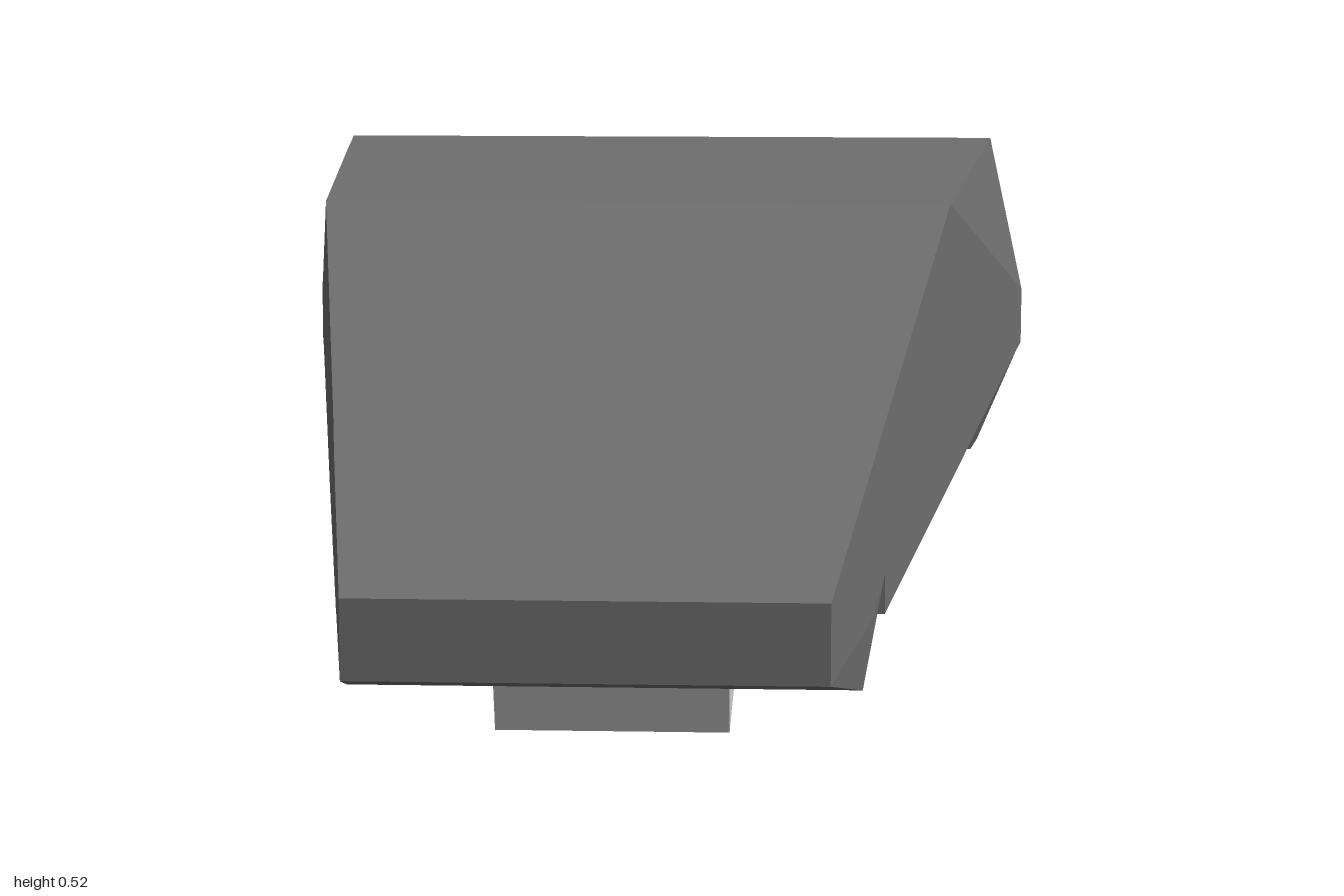
import * as THREE from 'three';

const bodyMaterial = new THREE.MeshStandardMaterial({ color: 0x6e6e6e, flatShading: true });
const barMaterial = new THREE.MeshStandardMaterial({ color: 0xcccccc, flatShading: true });

// Lofts mirrored half profiles, ordered front to back, into a closed flat-sided solid.
function loft(sections) {
  const rings = sections.map(([z, ...half]) => [
    ...half.map(([x, y]) => new THREE.Vector3(x, y, z)),
    ...half.slice().reverse().map(([x, y]) => new THREE.Vector3(-x, y, z)),
  ]);
  const positions = [];
  const tri = (a, b, c) => {
    if (new THREE.Triangle(a, b, c).getArea() < 1e-6) return;
    for (const p of [a, b, c]) positions.push(p.x, p.y, p.z);
  };
  const n = rings[0].length;
  for (let i = 0; i < rings.length - 1; i++) {
    for (let j = 0; j < n; j++) {
      const k = (j + 1) % n;
      tri(rings[i][j], rings[i][k], rings[i + 1][k]);
      tri(rings[i][j], rings[i + 1][k], rings[i + 1][j]);
    }
  }
  const first = rings[0], last = rings[rings.length - 1];
  for (let j = 1; j < n - 1; j++) {
    tri(first[0], first[j + 1], first[j]);
    tri(last[0], last[j], last[j + 1]);
  }
  const geometry = new THREE.BufferGeometry();
  geometry.setAttribute('position', new THREE.Float32BufferAttribute(positions, 3));
  geometry.computeVertexNormals();
  return geometry;
}

function addMesh(group, name, geometry, material) {
  const mesh = new THREE.Mesh(geometry, material);
  mesh.name = name;
  group.add(mesh);
  return mesh;
}

export function createModel() {
  const group = new THREE.Group();
  group.name = 'wedgeHousing';

  // Tapered housing: each section is z, then top, shoulder, waist and base corners
  addMesh(group, 'housing', loft([
    [1, [0.235, 0.243], [0.235, 0.243], [0.235, 0.162], [0.235, 0.162]],
    [0.69, [0.28, 0.33], [0.28, 0.33], [0.28, 0.162], [0.27, 0.085]],
    // notch behind the chin
    [0.59, [0.294, 0.358], [0.294, 0.358], [0.294, 0.19], [0.294, 0.19]],
    [0.59, [0.294, 0.358], [0.294, 0.358], [0.294, 0.19], [0.294, 0.145]],
    [0, [0.38, 0.525], [0.38, 0.525], [0.38, 0.173], [0.38, 0.173]],
    // rear lip
    [-0.83, [0.459, 0.525], [0.5, 0.338], [0.5, 0.212], [0.5, 0.212]],
    [-0.83, [0.459, 0.525], [0.5, 0.338], [0.5, 0.212], [0.445, 0.085]],
    [-0.92, [0.467, 0.525], [0.513, 0.318], [0.513, 0.216], [0.458, 0.085]],
    [-1, [0.475, 0.525], [0.525, 0.3], [0.525, 0.22], [0.492, 0.155]],
  ]), bodyMaterial);

  // Keel block under the housing
  const keel = addMesh(group, 'keel', new THREE.BoxGeometry(0.256, 0.135, 1.4), bodyMaterial);
  keel.position.set(0, 0.1525, -0.13);

  // Light bar below the keel, with ends sloping inward
  const bar = new THREE.BoxGeometry(0.256, 0.085, 1.4);
  const p = bar.attributes.position;
  for (let i = 0; i < p.count; i++) {
    if (p.getY(i) < 0) p.setZ(i, p.getZ(i) * 0.955);
  }
  bar.computeVertexNormals();
  addMesh(group, 'undersideBar', bar, barMaterial).position.set(0, 0.0425, -0.13);

  return group;
}
